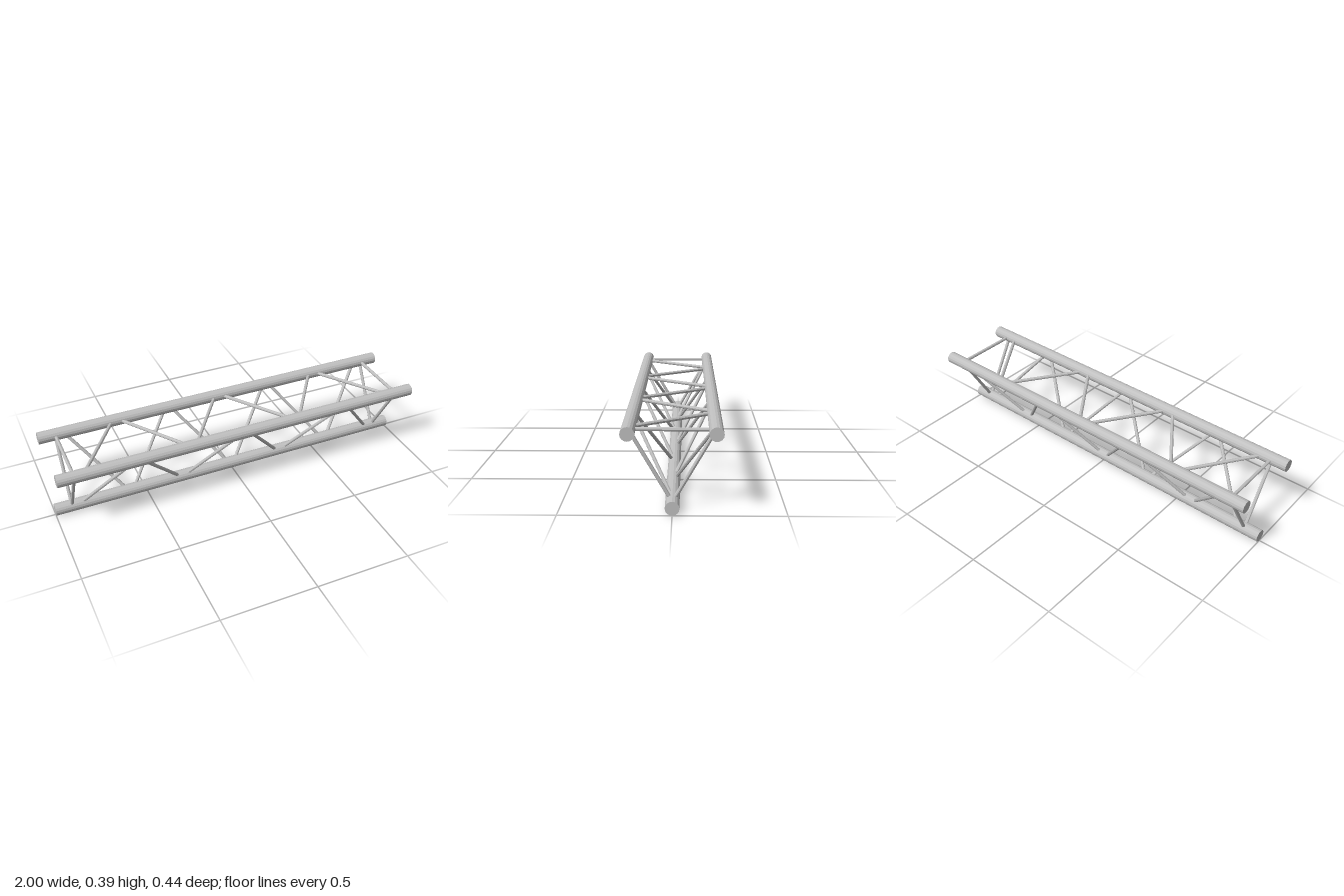
import * as THREE from 'three';

const TUBE_R = 0.032, STRUT_R = 0.009, LENGTH = 2;
const BAYS = 6, PITCH = 0.2933, RUN = 0.264, END_X = 0.91;

export function createModel() {
  const group = new THREE.Group();
  group.name = 'triangularTruss';
  const aluminium = new THREE.MeshStandardMaterial({ color: 0xc0c0c0, flatShading: true });
  aluminium.name = 'aluminium';

  // Round bar between two points
  function bar(name, a, b, radius, sides) {
    const dir = b.clone().sub(a);
    const mesh = new THREE.Mesh(new THREE.CylinderGeometry(radius, radius, dir.length(), sides), aluminium);
    mesh.name = name;
    mesh.position.copy(a).add(b).multiplyScalar(0.5);
    mesh.quaternion.setFromUnitVectors(new THREE.Vector3(0, 1, 0), dir.normalize());
    group.add(mesh);
  }

  // Corners of the triangular section: bottom, top front, top back
  const chords = [
    { name: 'bottom', y: TUBE_R, z: 0 },
    { name: 'topFront', y: TUBE_R + 0.33, z: 0.1905 },
    { name: 'topBack', y: TUBE_R + 0.33, z: -0.1905 },
  ];
  const at = (c, x) => new THREE.Vector3(x, c.y, c.z);
  const faces = ['front', 'top', 'back'];

  chords.forEach((c, i) => {
    const next = chords[(i + 1) % 3];

    // Main tube
    bar(c.name + 'Tube', at(c, -LENGTH / 2), at(c, LENGTH / 2), TUBE_R, 16);

    // Straight struts near both ends of each face
    for (const x of [-END_X, END_X]) bar(faces[i] + 'EndStrut', at(c, x), at(next, x), STRUT_R, 8);

    // Zigzag diagonals along each face
    for (let k = 0; k < BAYS; k++) {
      const x = (k - (BAYS - 1) / 2) * PITCH;
      const [from, to] = k % 2 ? [next, c] : [c, next];
      bar(faces[i] + 'Diagonal', at(from, x - RUN / 2), at(to, x + RUN / 2), STRUT_R, 8);
    }
  });
  return group;
}
